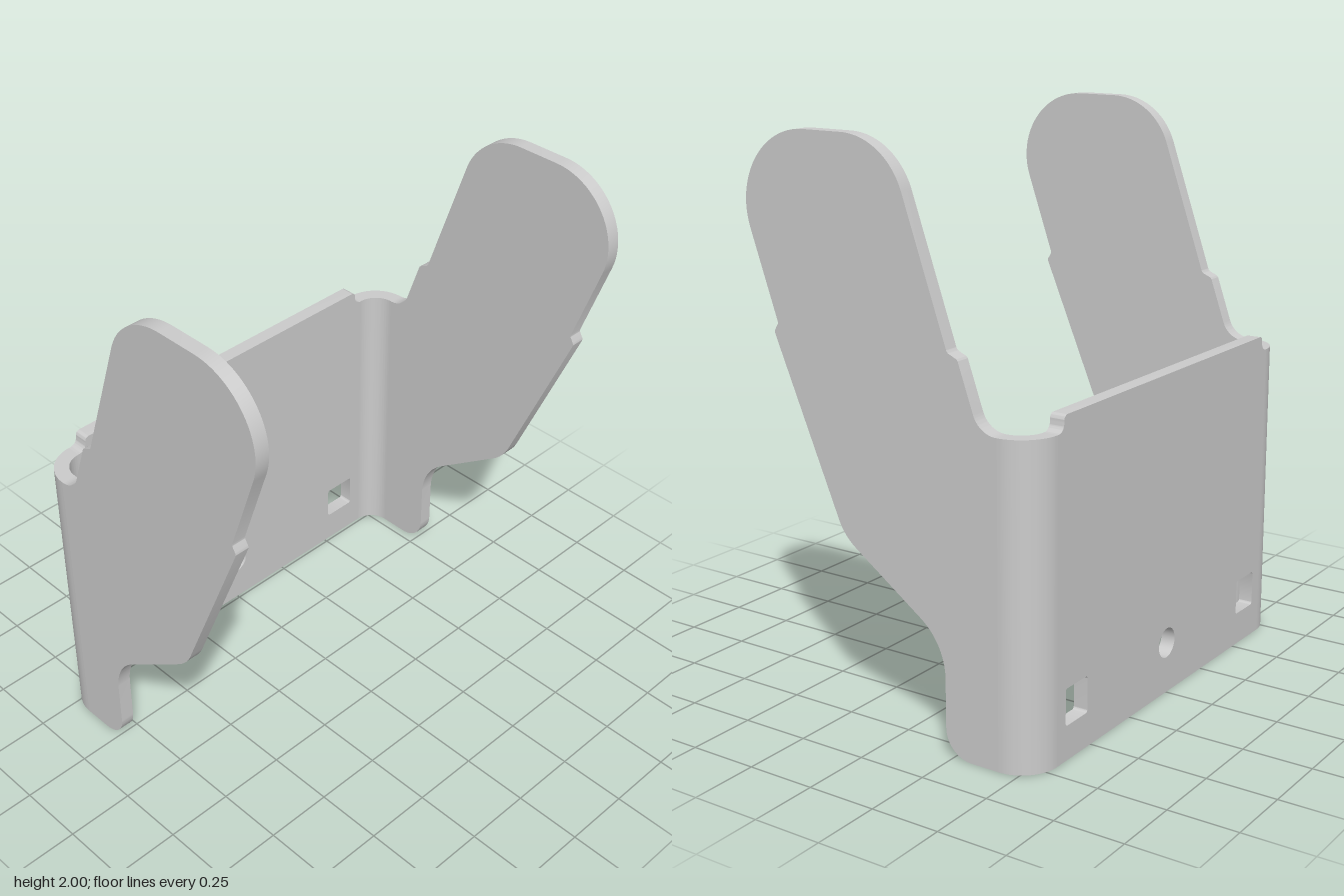
import * as THREE from 'three';
import { toCreasedNormals } from 'three/addons/utils/BufferGeometryUtils.js';

const T = 0.053;              // sheet thickness
const W = 0.835, BACK = 0.565; // outer half width, outer back distance
const R = 0.135;              // outer bend radius
const H = 1.11;               // height of the bends

// Closed outline from corners [x, y, radius], each rounded by a tangent arc
function rounded(corners, path = new THREE.Shape()) {
  const n = corners.length;
  const pts = corners.map(c => new THREE.Vector2(c[0], c[1]));
  corners.forEach(([, , r = 0], i) => {
    const p = pts[i];
    const a = pts[(i + n - 1) % n].clone().sub(p).normalize();
    const b = pts[(i + 1) % n].clone().sub(p).normalize();
    const go = q => (i === 0 ? path.moveTo(q.x, q.y) : path.lineTo(q.x, q.y));
    if (!r) return go(p);
    const half = Math.acos(a.dot(b)) / 2;
    const s = p.clone().addScaledVector(a, r / Math.tan(half));
    const e = p.clone().addScaledVector(b, r / Math.tan(half));
    const c = a.clone().add(b).normalize().multiplyScalar(r / Math.sin(half)).add(p);
    go(s);
    path.absarc(c.x, c.y, r, Math.atan2(s.y - c.y, s.x - c.x),
      Math.atan2(e.y - c.y, e.x - c.x), a.cross(b) > 0);
  });
  path.closePath();
  return path;
}

const extrude = (shape, depth) =>
  new THREE.ExtrudeGeometry(shape, { depth, bevelEnabled: false, curveSegments: 12 });

export function createModel() {
  const group = new THREE.Group();
  const material = new THREE.MeshStandardMaterial({ color: 0xcccccc });
  const add = (name, geometry) => {
    const mesh = new THREE.Mesh(toCreasedNormals(geometry, 0.4), material);
    mesh.name = name;
    group.add(mesh);
  };
  const bx = W - R, bz = -BACK + R; // bend axis

  // Back plate with raised top edge, two square holes and a round one
  const plate = rounded([
    [-bx, 0], [bx, 0], [bx, H], [0.666, H, 0.03], [0.666, 1.165, 0.018],
    [-0.666, 1.165, 0.018], [-0.666, H, 0.03], [-bx, H],
  ]);
  for (const x of [-0.585, 0.585]) {
    const h = 0.065, y = 0.187, r = 0.01;
    plate.holes.push(rounded([
      [x - h, y - h, r], [x - h, y + h, r], [x + h, y + h, r], [x + h, y - h, r],
    ], new THREE.Path()));
  }
  plate.holes.push(new THREE.Path().absarc(0, 0.187, 0.055, 0, Math.PI * 2, true));
  add('backPlate', extrude(plate, T).translate(0, 0, -BACK));

  // Side arm outline, drawn as (z, y)
  const arm = rounded([
    [bz, 0], [-0.223, 0, 0.1], [-0.223, 0.389, 0.23], [0.185, 0.678, 0.2],
    [0.461, 1.333, 0.015], [0.443, 1.362, 0.015], [0.665, 2, 0.25], [-0.021, 2, 0.25],
    [-0.245, 1.352, 0.02], [-0.284, 1.335, 0.02], [-0.363, H, 0.09], [bz, H],
  ]);

  for (const [side, s] of [['left', 1], ['right', -1]]) {
    add(side + 'Arm', extrude(arm, T).rotateY(-Math.PI / 2).translate(s > 0 ? W : T - W, 0, 0));

    // Quarter-round bend joining arm and back plate
    const a0 = s > 0 ? 0 : Math.PI / 2, a1 = a0 + Math.PI / 2;
    const bend = new THREE.Shape();
    bend.absarc(s * bx, -bz, R, a0, a1, false);
    bend.absarc(s * bx, -bz, R - T, a1, a0, true);
    bend.closePath();
    add(side + 'Bend', extrude(bend, H).rotateX(-Math.PI / 2));
  }
  return group;
}
